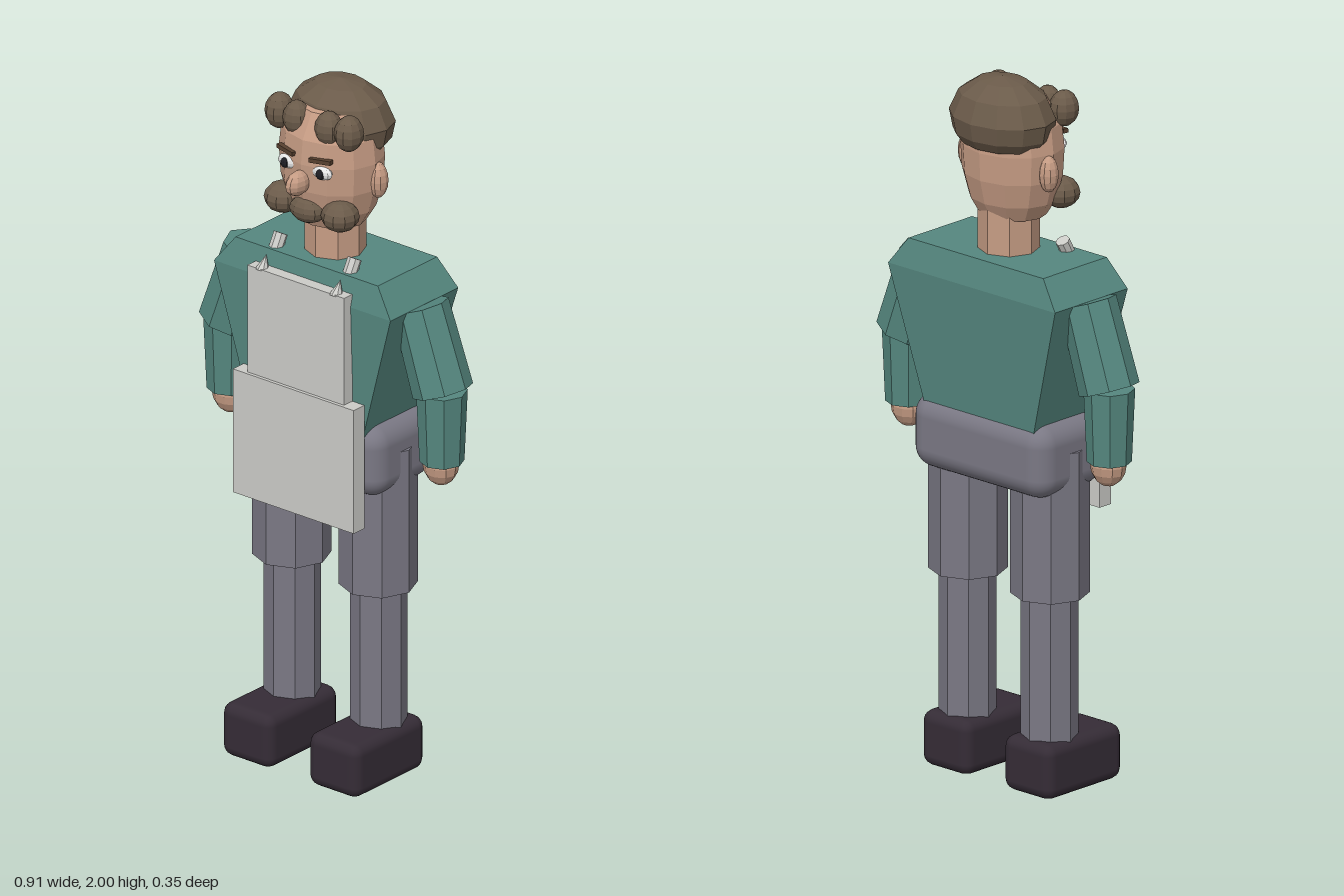
import * as THREE from 'three';
import { RoundedBoxGeometry } from 'three/addons/geometries/RoundedBoxGeometry.js';

const mat = (name, color, flat = true) => {
  const m = new THREE.MeshStandardMaterial({ color, flatShading: flat });
  m.name = name;
  return m;
};

export function createModel() {
  const group = new THREE.Group();
  const skin = mat('skin', 0xc69c84), hair = mat('hair', 0x6b5b4a);
  const teal = mat('shirt', 0x55877f), grey = mat('trousers', 0x7a7884);
  const dark = mat('shoes', 0x352c36), cloth = mat('apron', 0xcbcbc7);
  const white = mat('eyeWhite', 0xe6e6e6), black = mat('pupil', 0x1c1c22);
  const browMat = mat('brow', 0x57402f);
  dark.flatShading = false;

  const add = (name, geo, material, x, y, z) => {
    const mesh = new THREE.Mesh(geo, material);
    mesh.name = name;
    mesh.position.set(x, y, z);
    group.add(mesh);
    return mesh;
  };
  const blob = (name, material, x, y, z, rx, ry, rz, w = 10, h = 8) =>
    add(name, new THREE.SphereGeometry(1, w, h).scale(rx, ry, rz), material, x, y, z);
  // Eight-sided limb between two points
  const limb = (name, material, a, b, rTop, rBottom) => {
    const top = new THREE.Vector3(...a), bottom = new THREE.Vector3(...b);
    const axis = top.clone().sub(bottom);
    const mesh = add(name, new THREE.CylinderGeometry(rTop, rBottom, axis.length(), 8), material, 0, 0, 0);
    mesh.position.copy(top).add(bottom).multiplyScalar(0.5);
    mesh.quaternion.setFromUnitVectors(new THREE.Vector3(0, 1, 0), axis.normalize());
    return mesh;
  };
  const lathe = (name, material, profile, sides, depth, y, z) =>
    add(name, new THREE.LatheGeometry(profile.map(p => new THREE.Vector2(...p)), sides)
      .scale(1, 1, depth), material, 0, y, z);

  // Torso: a box reshaped into waist, shoulder line and narrower top
  const levels = [
    { y: 1.0, x: 0.19, back: -0.14, front: 0.098 },
    { y: 1.425, x: 0.31, back: -0.172, front: 0.113 },
    { y: 1.505, x: 0.25, back: -0.155, front: 0.094 },
  ];
  const torso = new THREE.BoxGeometry(2, 2, 2, 1, 2, 1);
  const pos = torso.attributes.position;
  for (let i = 0; i < pos.count; i++) {
    const l = levels[Math.round(pos.getY(i)) + 1];
    pos.setXYZ(i, pos.getX(i) * l.x, l.y, pos.getZ(i) > 0 ? l.front : l.back);
  }
  torso.computeVertexNormals();
  add('torso', torso, teal, 0, 0, 0);

  // Hips
  const hipMat = grey.clone();
  hipMat.flatShading = false;
  add('hips', new RoundedBoxGeometry(0.5, 0.21, 0.268, 4, 0.06), hipMat, 0, 0.963, -0.029);

  // Apron
  add('apronBib', new THREE.BoxGeometry(0.34, 0.33, 0.035), cloth, 0, 1.296, 0.123);
  add('apronSkirt', new THREE.BoxGeometry(0.425, 0.365, 0.045), cloth, 0, 0.962, 0.128);

  // Neck, head and hair
  add('neck', new THREE.CylinderGeometry(0.084, 0.084, 0.22, 8), skin, 0, 1.59, -0.026);
  lathe('head', skin, [[0, 1.598], [0.1, 1.605], [0.128, 1.65], [0.148, 1.72],
    [0.153, 1.8], [0.145, 1.87], [0.1, 1.94], [0, 1.96]], 12, 0.85, 0, -0.012);
  lathe('hairCap', hair, [[0, 1.81], [0.125, 1.812], [0.15, 1.84], [0.161, 1.89],
    [0.132, 1.95], [0.075, 1.988], [0, 2.0]], 12, 0.79, 0, -0.05);
  blob('moustacheMiddle', hair, 0, 1.66, 0.09, 0.056, 0.038, 0.04);
  blob('nose', skin, 0, 1.75, 0.13, 0.026, 0.035, 0.046);

  for (const s of [-1, 1]) {
    // Face details
    blob('ear', skin, s * 0.15, 1.748, -0.028, 0.027, 0.052, 0.028);
    blob('eye', white, s * 0.06, 1.788, 0.1, 0.034, 0.02, 0.016);
    blob('pupil', black, s * 0.062, 1.786, 0.11, 0.014, 0.015, 0.013);
    const brow = add('eyebrow', new THREE.BoxGeometry(0.066, 0.012, 0.016), browMat, s * 0.06, 1.824, 0.107);
    brow.rotation.set(0, s * 0.2, s * 0.06);
    blob('moustacheEnd', hair, s * 0.1, 1.662, 0.073, 0.053, 0.044, 0.053);
    blob('outerCurl', hair, s * 0.122, 1.908, 0.062, 0.04, 0.051, 0.043);
    blob('innerCurl', hair, s * 0.056, 1.906, 0.068, 0.04, 0.05, 0.038);

    // Apron ties
    add('strapButton', new THREE.CylinderGeometry(0.02, 0.02, 0.052, 8), cloth, s * 0.13, 1.513, 0.06).rotation.x = -0.5;
    add('strapEnd', new THREE.ConeGeometry(0.021, 0.045, 8), cloth, s * 0.13, 1.472, 0.117).rotation.x = -0.4;

    // Arms
    limb('upperArm', teal, [s * 0.296, 1.42, -0.029], [s * 0.376, 1.188, -0.029], 0.079, 0.084);
    limb('forearm', teal, [s * 0.374, 1.19, -0.027], [s * 0.374, 0.982, -0.027], 0.07, 0.061);
    blob('hand', skin, s * 0.37, 0.972, -0.027, 0.052, 0.06, 0.047);

    // Legs and shoes
    limb('thigh', grey, [s * 0.152, 0.98, -0.025], [s * 0.152, 0.558, -0.025], 0.108, 0.108);
    limb('shin', grey, [s * 0.152, 0.57, -0.027], [s * 0.152, 0.14, -0.027], 0.078, 0.078);
    add('shoe', new RoundedBoxGeometry(0.178, 0.157, 0.298, 2, 0.032), dark, s * 0.152, 0.0785, 0.025);
  }
  return group;
}
